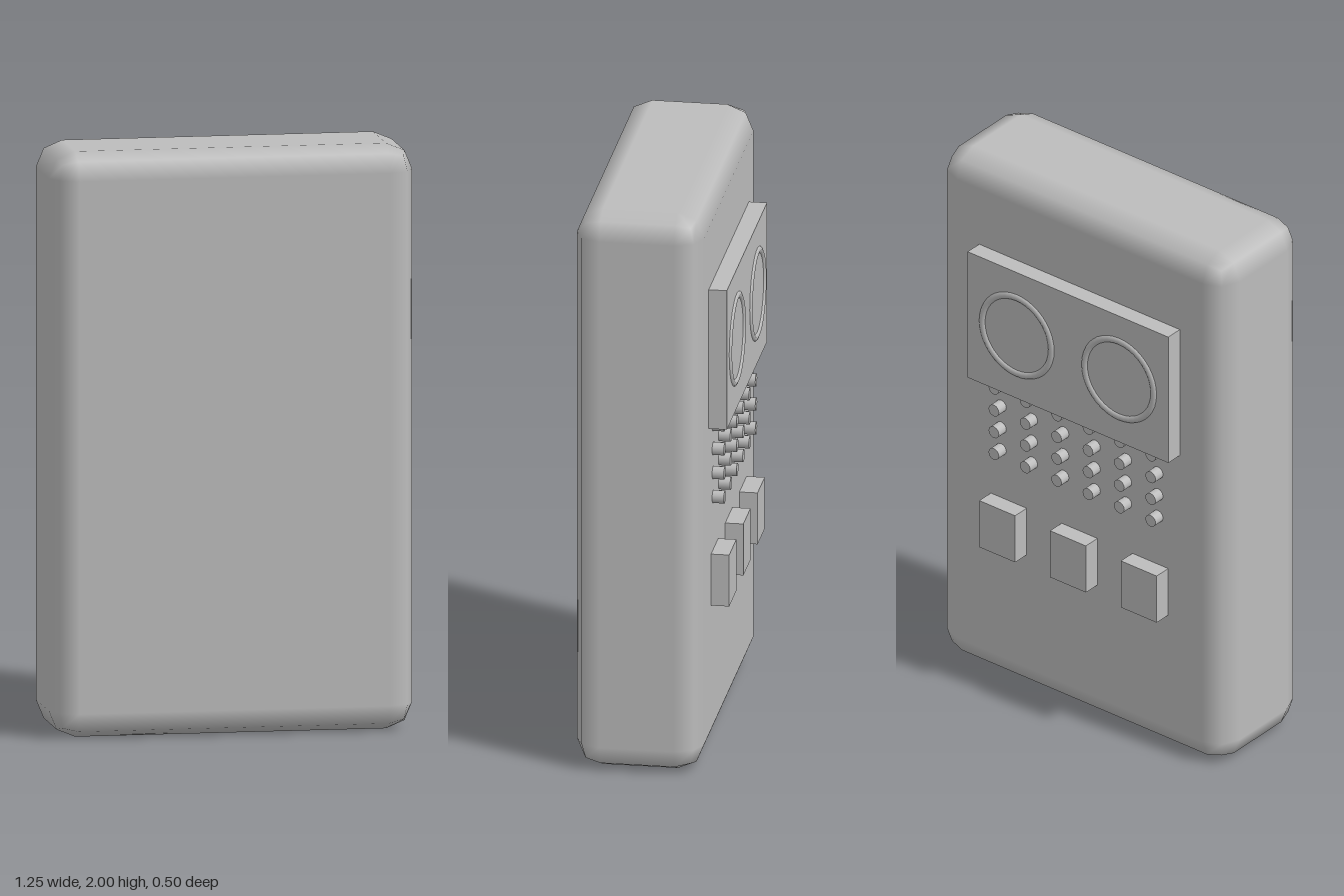
import * as THREE from 'three';
import { RoundedBoxGeometry } from 'three/addons/geometries/RoundedBoxGeometry.js';

export function createModel() {
  const group = new THREE.Group();
  group.name = 'handheldRecorder';
  const grey = new THREE.MeshStandardMaterial({ color: 0xbcbcbc });
  grey.name = 'plainGrey';

  const add = (name, geometry, x, y, z) => {
    const mesh = new THREE.Mesh(geometry, grey);
    mesh.name = name;
    mesh.position.set(x, y, z);
    group.add(mesh);
    return mesh;
  };

  const backZ = -0.185; // back face of the case
  const raisedZ = -0.247; // outer face of the panel and buttons

  // A block standing proud of the case back
  const block = (name, width, height, x, y) => {
    const depth = backZ - raisedZ + 0.02;
    add(name, new THREE.BoxGeometry(width, height, depth), x, y, raisedZ + depth / 2);
  };

  // Case with two-step rounded edges
  add('case', new RoundedBoxGeometry(1.245, 2, 0.435, 1, 0.09), 0, 1, 0.0325);

  // Display panel with two raised rings
  block('panel', 0.87, 0.5, 0, 1.44);
  const ring = new THREE.TorusGeometry(0.15, 0.015, 8, 40);
  for (const x of [-0.222, 0.222]) add('reelRing', ring, x, 1.44, -0.24);

  // Grid of small pegs below the panel
  const peg = new THREE.CylinderGeometry(0.0225, 0.0225, 0.06, 12).rotateX(Math.PI / 2);
  for (let row = 0; row < 4; row++) {
    for (let col = 0; col < 6; col++) {
      add('speakerPeg', peg, (col - 2.5) * 0.136, 0.912 + row * 0.0865, -0.195);
    }
  }

  // Three push buttons
  for (const x of [-0.307, 0, 0.307]) block('button', 0.155, 0.185, x, 0.628);

  return group;
}
